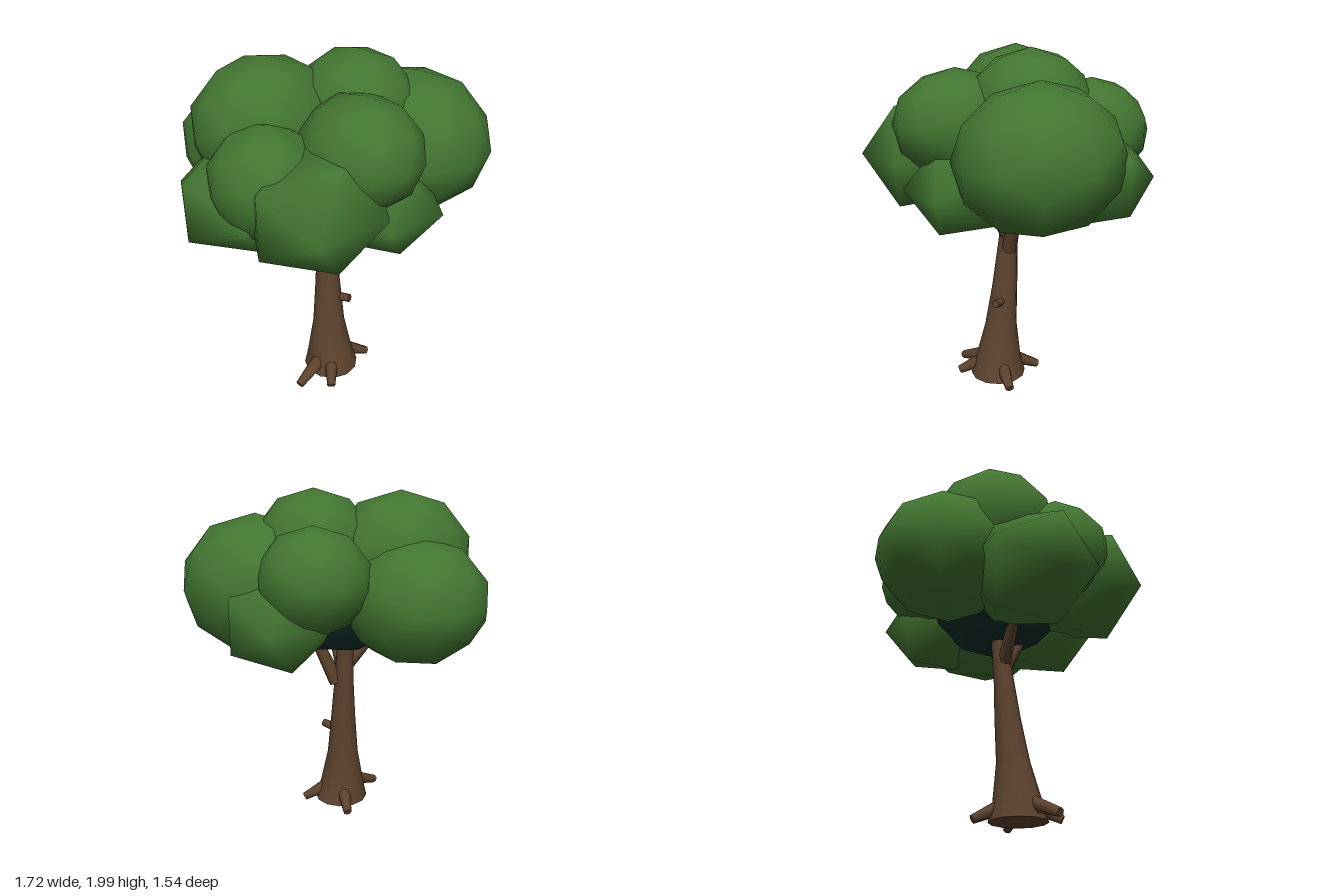
import * as THREE from 'three';
import { toCreasedNormals } from 'three/addons/utils/BufferGeometryUtils.js';

const material = (name, color) => {
  const m = new THREE.MeshStandardMaterial({ color });
  m.name = name;
  return m;
};

export function createModel() {
  const bark = material('bark', 0x5e432e);
  const leaf = material('leaf', 0x437632);
  const shade = material('innerLeaf', 0x0d302c);
  const tree = new THREE.Group();
  tree.name = 'tree';

  const add = (name, geometry, mat) => {
    const mesh = new THREE.Mesh(geometry, mat);
    mesh.name = name;
    tree.add(mesh);
    return mesh;
  };

  // Smooth-shaded low-poly ball, stretched to an ellipsoid
  const clump = (name, center, radii, detail, mat = leaf) => {
    const g = new THREE.IcosahedronGeometry(1, detail).rotateZ(Math.PI / 2);
    g.setAttribute('normal', g.attributes.position.clone());
    g.scale(...radii);
    g.translate(...center);
    add(name, g, mat);
  };

  // Tapered limb between two points
  const limb = (name, from, to, r0, r1) => {
    const a = new THREE.Vector3(...from), b = new THREE.Vector3(...to);
    const d = b.clone().sub(a);
    const g = toCreasedNormals(new THREE.CylinderGeometry(r1, r0, d.length(), 7), 1);
    const mesh = add(name, g, bark);
    mesh.position.copy(a).addScaledVector(d, 0.5);
    mesh.quaternion.setFromUnitVectors(new THREE.Vector3(0, 1, 0), d.normalize());
  };

  // Trunk: leaning rings of [y, x, z, radius], flared at the foot
  const rings = [
    [0.025, -0.07, 0.18, 0.165],
    [0.13, -0.075, 0.175, 0.137],
    [0.35, -0.07, 0.155, 0.095],
    [0.6, -0.06, 0.13, 0.075],
    [0.85, -0.055, 0.11, 0.058],
    [1.14, -0.05, 0.08, 0.046],
  ];
  const last = rings.length - 1;
  const trunk = new THREE.CylinderGeometry(1, 1, last, 12, last);
  const p = trunk.attributes.position;
  for (let i = 0; i < p.count; i++) {
    const [y, x, z, r] = rings[Math.round(p.getY(i) + last / 2)];
    p.setXYZ(i, x + p.getX(i) * r, y, z + p.getZ(i) * r);
  }
  add('trunk', toCreasedNormals(trunk, 1), bark);

  // Roots around the foot
  const rootTips = [[-0.36, 0.25], [-0.21, 0.37], [0.16, 0.25], [0.01, -0.06]];
  for (const [x, z] of rootTips) {
    const start = [-0.07 + (x + 0.07) * 0.35, 0.11, 0.18 + (z - 0.18) * 0.35];
    limb('root', start, [x, 0.032, z], 0.045, 0.025);
  }

  // Branches and a broken twig
  limb('branch', [-0.04, 0.9, 0.11], [-0.3, 1.2, 0.06], 0.042, 0.03);
  limb('branch', [-0.01, 0.84, 0.13], [0.14, 1.19, 0.17], 0.046, 0.03);
  limb('branch', [-0.05, 0.92, 0.12], [-0.05, 1.2, 0.28], 0.042, 0.03);
  limb('twig', [-0.04, 0.51, 0.14], [0.015, 0.525, 0.25], 0.028, 0.024);

  // Crown: large rounded clumps
  const large = [
    [[0.434, 1.47, 0.24], [0.425, 0.395, 0.465]],
    [[0.145, 1.69, 0.09], [0.335, 0.31, 0.35]],
    [[-0.29, 1.62, -0.12], [0.42, 0.368, 0.37]],
    [[-0.24, 1.42, -0.37], [0.4, 0.35, 0.405]],
    [[0.29, 1.55, -0.21], [0.31, 0.288, 0.325]],
    [[-0.08, 1.6, 0.42], [0.32, 0.297, 0.35]],
    [[-0.5, 1.475, 0.2], [0.3, 0.3, 0.31]],
  ];
  for (const [c, r] of large) clump('largeLeafClump', c, r, 1);

  // Crown: lower, coarser clumps
  const low = [
    [[-0.37, 1.39, 0.45], [0.4, 0.34, 0.36]],
    [[0.05, 1.275, 0.434], [0.333, 0.276, 0.354]],
    [[-0.495, 1.31, 0], [0.43, 0.323, 0.39]],
    [[0.455, 1.33, -0.11], [0.323, 0.285, 0.314]],
  ];
  for (const [c, r] of low) clump('lowLeafClump', c, r, 0);

  // Dark core filling the gaps between clumps
  clump('innerFoliage', [-0.02, 1.39, 0.12], [0.47, 0.34, 0.44], 1, shade);

  return tree;
}
